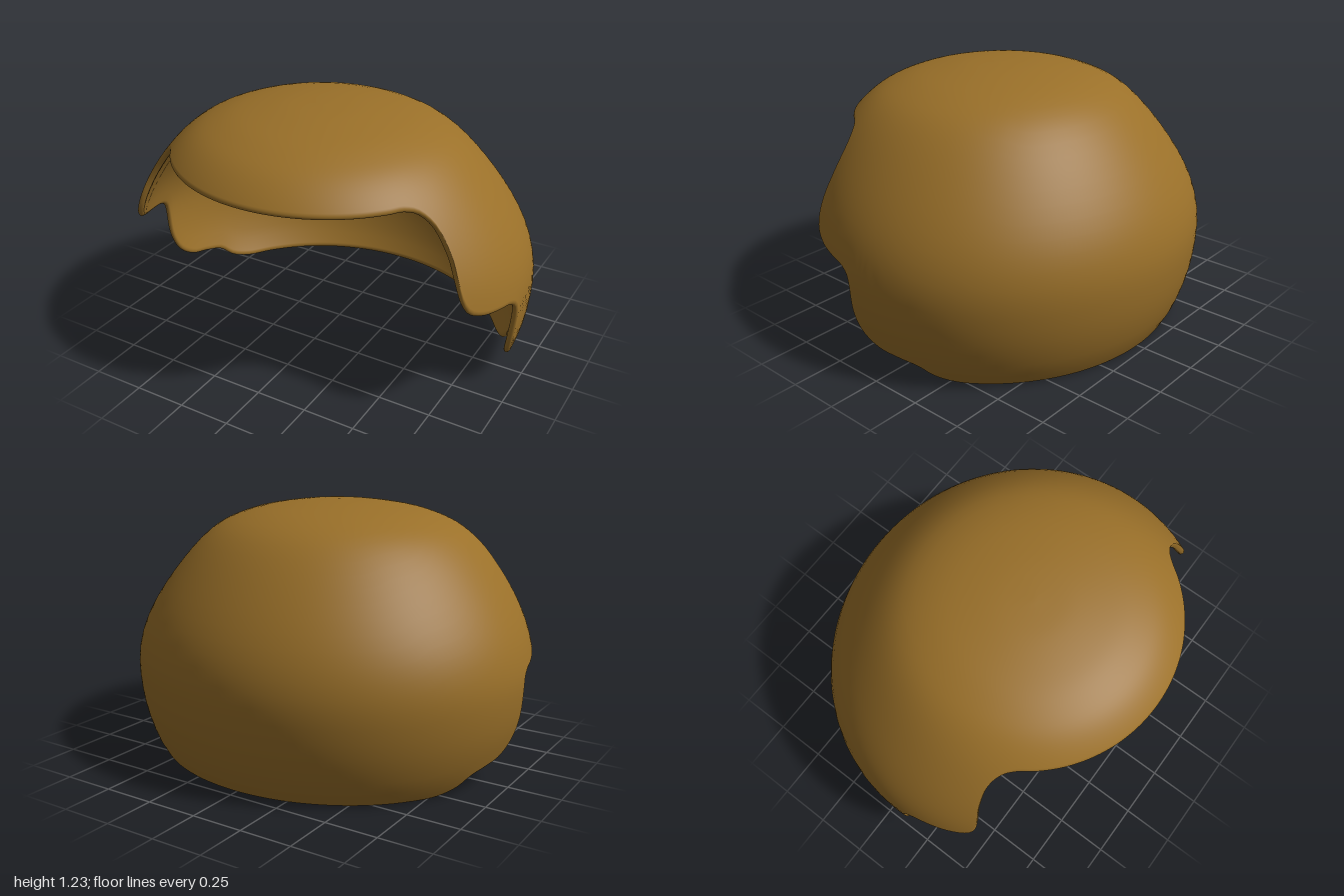
import * as THREE from 'three';
import { mergeVertices } from 'three/addons/utils/BufferGeometryUtils.js';

const V2 = (p) => new THREE.Vector2(p[0], p[1]);

// Dome profile from crown to lower rim: [radius, height]
const profile = new THREE.SplineCurve([
  [0, 1.226], [0.18, 1.218], [0.36, 1.19], [0.48, 1.154], [0.58, 1.104], [0.67, 1.027], [0.752, 0.925],
  [0.826, 0.8], [0.88, 0.67], [0.911, 0.54], [0.921, 0.42], [0.903, 0.25], [0.857, 0.09], [0.8, -0.02],
].map(V2));
profile.arcLengthDivisions = 600;
const LENGTH = profile.getLength();

// The dome is wider than deep, more so below, and shifts slightly back
const widen = (y) => 1.085 - 0.045 * THREE.MathUtils.smoothstep(y, 0.5, 1.05);
const centre = (y) => 0.1 + 0.05 * THREE.MathUtils.smoothstep(y, 0.5, 1.05);

// Profile parameter at a given height
function paramAt(y) {
  let a = 0, b = 1;
  for (let i = 0; i < 30; i++) {
    const m = (a + b) / 2;
    if (profile.getPointAt(m).y > y) a = m; else b = m;
  }
  return (a + b) / 2;
}

// Point on the dome; angle 0 is the front, positive towards +x
function domePoint(angle, t) {
  const p = profile.getPointAt(THREE.MathUtils.clamp(t, 0, 1));
  return new THREE.Vector3(p.x * widen(p.y) * Math.sin(angle), p.y, centre(p.y) + p.x * Math.cos(angle));
}

function domeNormal(angle, t) {
  if (t < 0.003) return new THREE.Vector3(0, 1, 0);
  const d = 0.004;
  const down = domePoint(angle, t + d).sub(domePoint(angle, t - d));
  const round = domePoint(angle + d, t).sub(domePoint(angle - d, t));
  return down.cross(round).normalize();
}

// Stepped edge of one side: [z, y] from the brow, past temple and ear, to the nape
const edge = [
  [0.78, 1.001], [0.68, 1.001], [0.58, 1.001], [0.52, 1.0], [0.475, 0.977], [0.452, 0.92], [0.462, 0.8],
  [0.483, 0.7], [0.488, 0.62], [0.468, 0.565], [0.4, 0.53], [0.3, 0.512], [0.21, 0.497], [0.165, 0.465],
  [0.15, 0.41], [0.147, 0.27], [0.115, 0.18], [0.04, 0.12], [-0.06, 0.097], [-0.15, 0.072],
  [-0.195, 0.026], [-0.27, -0.002], [-0.4, -0.006], [-0.55, -0.006],
];

function edgeSamples(count) {
  const points = edge.map(([z, y]) => {
    const r = profile.getPointAt(paramAt(y)).x;
    return new THREE.Vector3(Math.acos(THREE.MathUtils.clamp((z - centre(y)) / r, -1, 1)), y, 0);
  });
  points.unshift(new THREE.Vector3(0, 1.001, 0));
  points.push(new THREE.Vector3(Math.PI, -0.006, 0));
  const curve = new THREE.CatmullRomCurve3(points, false, 'centripetal');
  curve.arcLengthDivisions = 1000;
  return curve.getSpacedPoints(count).map((p) => ({
    angle: THREE.MathUtils.clamp(p.x, 0, Math.PI),
    t: paramAt(p.y),
  }));
}

// Thin shell: each column runs from the crown to the edge, round the lip and back inside
function shellGeometry() {
  const HALF = 130, ROWS = 28, LIP = 6, thickness = 0.03, lipLength = 0.022;
  const half = edgeSamples(HALF);
  const browT = half[0].t;
  const columns = [
    ...half.slice(1).reverse().map((e) => ({ ...e, side: -1 })),
    ...half.map((e) => ({ ...e, side: 1 })),
  ];
  const positions = [], indices = [];
  let rows = 0;
  for (const { angle, t, side } of columns) {
    const lip = lipLength / (t * LENGTH);
    // Stations: [share of the way to the edge, offset across the thickness from -1 to 1]
    const path = [];
    for (let k = 0; k < ROWS; k++) path.push([(1 - lip) * k / ROWS, 1]);
    for (let k = 0; k <= 2 * LIP; k++) {
      const a = (k / (2 * LIP)) * Math.PI;
      path.push([1 - lip * (1 - Math.sin(a)), Math.cos(a)]);
    }
    for (let k = ROWS - 1; k >= 0; k--) path.push([(1 - lip) * k / ROWS, -1]);
    rows = path.length;
    // Columns lean towards the back so they never cross the notches
    const depth = Math.max(0, (t - browT) / (1 - browT));
    const start = angle + (Math.PI - angle) * 0.7 * depth;
    for (const [s, across] of path) {
      const a = side * THREE.MathUtils.lerp(start, angle, s);
      const p = domePoint(a, t * s);
      p.addScaledVector(domeNormal(a, t * s), (across - 1) * thickness / 2);
      positions.push(p.x, p.y, p.z);
    }
  }
  for (let j = 0; j < columns.length - 1; j++) {
    for (let k = 0; k < rows - 1; k++) {
      const a = j * rows + k, b = a + rows;
      indices.push(a, a + 1, b + 1, a, b + 1, b);
    }
  }
  const geometry = new THREE.BufferGeometry();
  geometry.setAttribute('position', new THREE.Float32BufferAttribute(positions, 3));
  geometry.setIndex(indices);
  const merged = mergeVertices(geometry, 1e-5);
  merged.computeVertexNormals();
  return merged;
}

export function createModel() {
  const group = new THREE.Group();
  group.name = 'hairCap';
  const shell = new THREE.Mesh(
    shellGeometry(),
    new THREE.MeshStandardMaterial({ color: 0x9a7029, side: THREE.DoubleSide }),
  );
  shell.name = 'hairShell';
  group.add(shell);
  return group;
}
